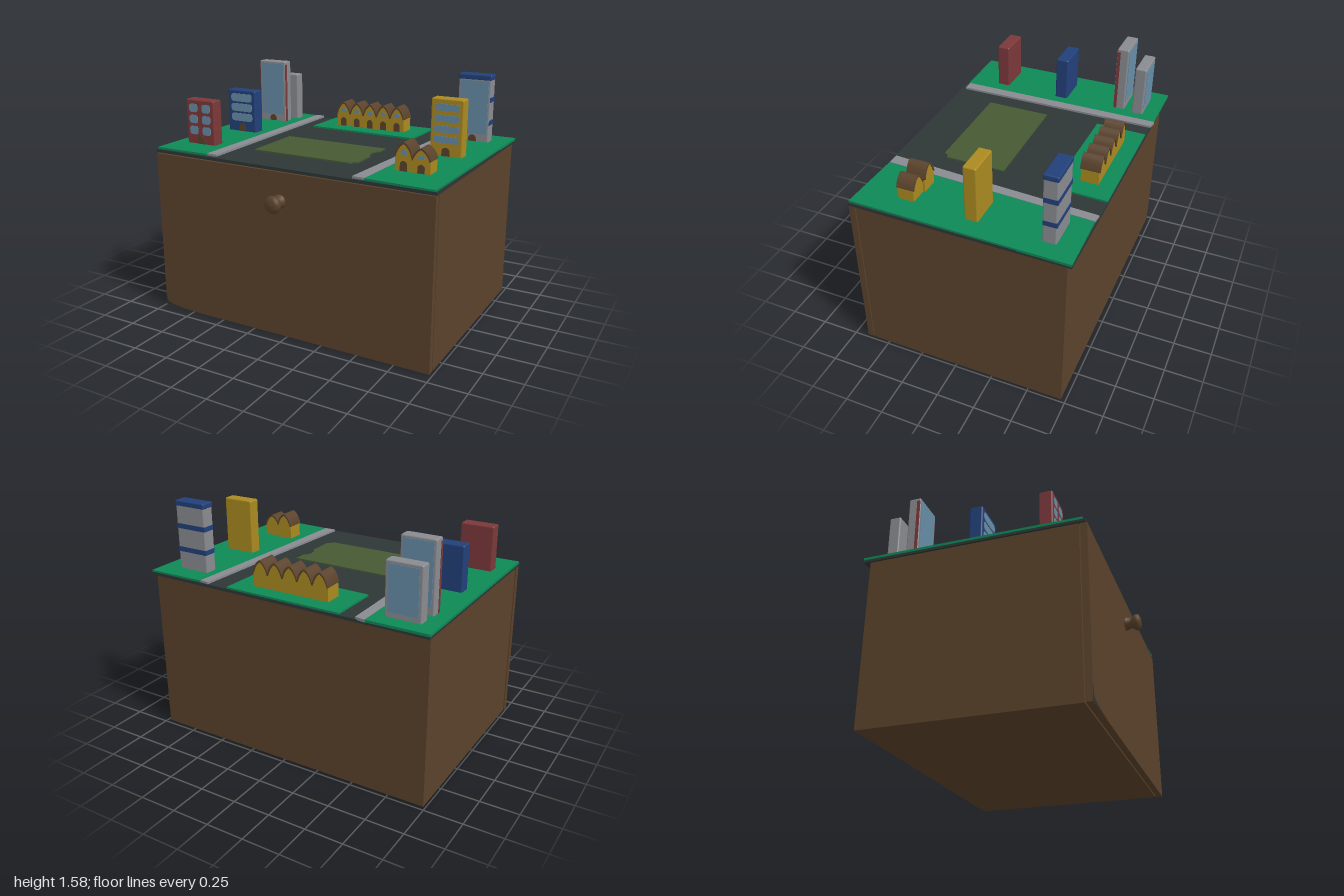
import * as THREE from 'three';
import { RoundedBoxGeometry } from 'three/addons/geometries/RoundedBoxGeometry.js';

const mat = (name, hex) => {
  const m = new THREE.MeshStandardMaterial({ color: hex });
  m.name = name;
  return m;
};

export function createModel() {
  const brown = mat('wood brown', 0x5a422b), road = mat('asphalt', 0x2d3636);
  const green = mat('grass green', 0x0d8855), gray = mat('concrete gray', 0x888b90);
  const olive = mat('park olive', 0x465a33), blue = mat('deep blue', 0x22407a);
  const yellow = mat('ochre yellow', 0xaa8a20), red = mat('brick red', 0x7c383a);
  const glass = mat('window blue', 0x678da6);

  const model = new THREE.Group();
  model.name = 'cityCabinet';
  const GROUND = 1.128;

  const add = (parent, name, geo, material, x = 0, y = 0, z = 0) => {
    const m = new THREE.Mesh(geo, material);
    m.name = name;
    m.position.set(x, y, z);
    parent.add(m);
    return m;
  };
  // box given by its limits
  const box = (parent, name, material, x0, x1, y0, y1, z0, z1) =>
    add(parent, name, new THREE.BoxGeometry(x1 - x0, y1 - y0, z1 - z0), material,
      (x0 + x1) / 2, (y0 + y1) / 2, (z0 + z1) / 2);
  const extrude = (shape, depth) =>
    new THREE.ExtrudeGeometry(shape, { depth, bevelEnabled: false, curveSegments: 8 });
  // flat ground piece from x,z corners
  const slab = (name, material, pts, y0, y1) => {
    const shape = new THREE.Shape(pts.map(([x, z]) => new THREE.Vector2(x, -z)));
    const geo = extrude(shape, y1 - y0);
    geo.rotateX(-Math.PI / 2);
    return add(model, name, geo, material, 0, y0, 0);
  };
  // rounded window and arched door outlines
  const windowShape = (w, h, r) => {
    const s = new THREE.Shape(), a = w / 2, b = h / 2;
    s.moveTo(-a + r, -b).lineTo(a - r, -b).quadraticCurveTo(a, -b, a, -b + r);
    s.lineTo(a, b - r).quadraticCurveTo(a, b, a - r, b);
    s.lineTo(-a + r, b).quadraticCurveTo(-a, b, -a, b - r);
    s.lineTo(-a, -b + r).quadraticCurveTo(-a, -b, -a + r, -b);
    return s;
  };
  const archShape = (w, h) => {
    const s = new THREE.Shape(), r = w / 2;
    s.moveTo(-r, 0).lineTo(r, 0).lineTo(r, h - r).absarc(0, h - r, r, 0, Math.PI, false);
    s.lineTo(-r, 0);
    return s;
  };

  // cabinet and drawer front
  box(model, 'cabinetBody', brown, -0.985, 0.98, 0, 1.1, -0.72, 0.615);
  box(model, 'drawerFront', brown, -0.99, 0.98, 0, 1.092, 0.622, 0.664);
  const chip = new THREE.Shape();
  chip.moveTo(-0.99, 0.003).lineTo(-0.7, 0.003).quadraticCurveTo(-0.96, 0.008, -0.978, 0.04);
  chip.lineTo(-0.99, 0.09);
  add(model, 'drawerCornerMark', extrude(chip, 0.003), road, 0, 0, 0.663);

  // turned knob
  const profile = [[0, 0], [0.047, 0], [0.044, 0.015], [0.036, 0.035], [0.037, 0.05],
    [0.052, 0.068], [0.056, 0.082], [0.05, 0.096], [0.03, 0.105], [0, 0.108]];
  const knob = new THREE.LatheGeometry(profile.map(p => new THREE.Vector2(...p)), 24);
  knob.rotateX(Math.PI / 2);
  add(model, 'knob', knob, brown, -0.035, 0.907, 0.662);

  // ground layers
  slab('roadSlab', road, [[-0.998, 0.655], [0.985, 0.662], [0.99, -0.748], [-0.998, -0.76]], 1.096, 1.116);
  slab('leftLawn', green, [[-0.998, 0.64], [-0.6, 0.635], [-0.595, -0.762], [-1, -0.762]], 1.112, GROUND);
  slab('rightLawn', green, [[0.53, 0.645], [0.975, 0.662], [0.993, -0.748], [0.59, -0.742], [0.565, -0.2]], 1.112, GROUND);
  slab('backLawn', green, [[-0.43, -0.415], [0.37, -0.4], [0.38, -0.75], [-0.425, -0.752]], 1.112, GROUND);
  slab('leftPavement', gray, [[-0.603, 0.628], [-0.53, 0.628], [-0.535, -0.755], [-0.6, -0.766]], 1.112, 1.13);
  slab('rightPavement', gray, [[0.45, 0.642], [0.53, 0.642], [0.555, 0], [0.592, -0.742], [0.53, -0.748], [0.49, 0]], 1.112, 1.13);
  slab('park', olive, [[-0.41, 0.375], [0.295, 0.375], [0.305, 0.35], [0.33, 0.34], [0.33, 0.16], [0.306, 0.13],
    [0.3, 0.08], [0.31, 0.04], [0.33, 0.03], [0.33, -0.055], [-0.41, -0.055]], 1.112, 1.125);

  // tower blocks: plates sit on the front (+1) or back (-1) face
  const tower = (name, material, x0, x1, z0, z1, top) => {
    const g = new THREE.Group();
    g.name = name;
    g.position.set((x0 + x1) / 2, GROUND, (z0 + z1) / 2);
    model.add(g);
    const w = x1 - x0, h = top - GROUND, d = z1 - z0;
    add(g, 'block', new RoundedBoxGeometry(w, h + 0.01, d, 2, 0.01), material, 0, h / 2 - 0.005, 0);
    const plate = (label, shape, m, x, y, side = 1) => {
      const p = add(g, label, extrude(shape, 0.004), m, x, y, side * (d / 2 - 0.001));
      if (side < 0) p.rotation.y = Math.PI;
    };
    return { g, w, h, d, plate };
  };

  const redTower = tower('redTower', red, -0.91, -0.685, 0.35, 0.437, 1.425);
  for (const x of [-0.053, 0.05])
    for (const y of [0.09, 0.165, 0.24])
      redTower.plate('window', windowShape(0.068, 0.056, 0.022), glass, x, y);
  redTower.plate('door', archShape(0.06, 0.055), brown, 0, 0);

  const blueTower = tower('blueTower', blue, -0.9, -0.67, -0.105, -0.018, 1.422);
  for (const y of [0.1, 0.17, 0.24])
    blueTower.plate('window', windowShape(0.175, 0.056, 0.024), glass, 0, y);
  blueTower.plate('door', archShape(0.05, 0.055), brown, 0, 0);

  const tallGray = tower('tallGrayTower', gray, -0.91, -0.688, -0.525, -0.445, 1.575);
  for (const side of [1, -1])
    tallGray.plate('glassFront', windowShape(0.19, 0.38, 0.01), glass, 0, 0.24, side);
  tallGray.plate('door', archShape(0.055, 0.045), brown, 0, 0);
  for (const s of [-1, 1])
    box(tallGray.g, 'redEdge', red, s * 0.111 - 0.002, s * 0.111 + 0.002, 0, 0.425, 0.016, 0.037);

  const lowGray = tower('lowGrayTower', gray, -0.9, -0.668, -0.662, -0.585, 1.465);
  lowGray.plate('glassBack', windowShape(0.19, 0.285, 0.01), glass, 0, 0.175, -1);

  const banded = tower('bandedTower', gray, 0.646, 0.87, -0.613, -0.525, 1.578);
  const band = (y0, y1, front) =>
    box(banded.g, 'blueBand', blue, -0.1135, 0.1135, y0, y1, -0.0455, front);
  band(0.115, 0.147, 0.04);
  band(0.27, 0.302, 0.04);
  add(banded.g, 'blueCap', new RoundedBoxGeometry(0.229, 0.036, 0.093, 2, 0.008), blue, 0, 0.434, 0);
  banded.plate('glassFront', windowShape(0.195, 0.36, 0.01), glass, 0, 0.232);
  banded.plate('door', archShape(0.055, 0.045), brown, 0, 0);

  const yellowTower = tower('yellowTower', yellow, 0.646, 0.862, -0.13, -0.045, 1.493);
  for (const y of [0.105, 0.172, 0.24, 0.31])
    yellowTower.plate('window', windowShape(0.165, 0.044, 0.015), glass, 0, y);
  yellowTower.plate('door', archShape(0.055, 0.055), brown, 0, 0);

  // pointed-gable houses
  const gable = (s, w, eave, peak) => {
    s.lineTo(w, eave).quadraticCurveTo(w * 0.72, peak * 0.9, 0, peak);
    s.quadraticCurveTo(-w * 0.72, peak * 0.9, -w, eave);
    return s;
  };
  const house = (name, x, z0, z1, w, scaleY = 1) => {
    const g = new THREE.Group();
    g.name = name;
    g.position.set(x, GROUND, z0);
    g.scale.y = scaleY;
    model.add(g);
    const a = w / 2, d = z1 - z0;
    const wall = new THREE.Shape();
    wall.moveTo(-a, 0).lineTo(a, 0);
    add(g, 'walls', extrude(gable(wall, a, 0.095, 0.168), d - 0.014), yellow, 0, 0, 0.007);
    const roof = new THREE.Shape();
    roof.moveTo(-a, 0.088).lineTo(-a * 0.92, 0.088).quadraticCurveTo(-a * 0.65, 0.145, 0, 0.165);
    roof.quadraticCurveTo(a * 0.65, 0.145, a * 0.92, 0.088).lineTo(a, 0.088);
    add(g, 'roof', extrude(gable(roof, a + 0.002, 0.092, 0.178), d), brown);
    add(g, 'door', extrude(archShape(0.046, 0.062), 0.004), brown, 0, 0, d - 0.009);
    add(g, 'gableWindow', extrude(archShape(0.042, 0.03), 0.004), glass, 0, 0.1, d - 0.009);
  };
  for (let i = 0; i < 5; i++) house('rowHouse', -0.237 + i * 0.107, -0.655, -0.525, 0.107);
  house('cornerHouseLeft', 0.665, 0.278, 0.408, 0.112);
  house('cornerHouseRight', 0.778, 0.292, 0.41, 0.116, 0.86);

  return model;
}
